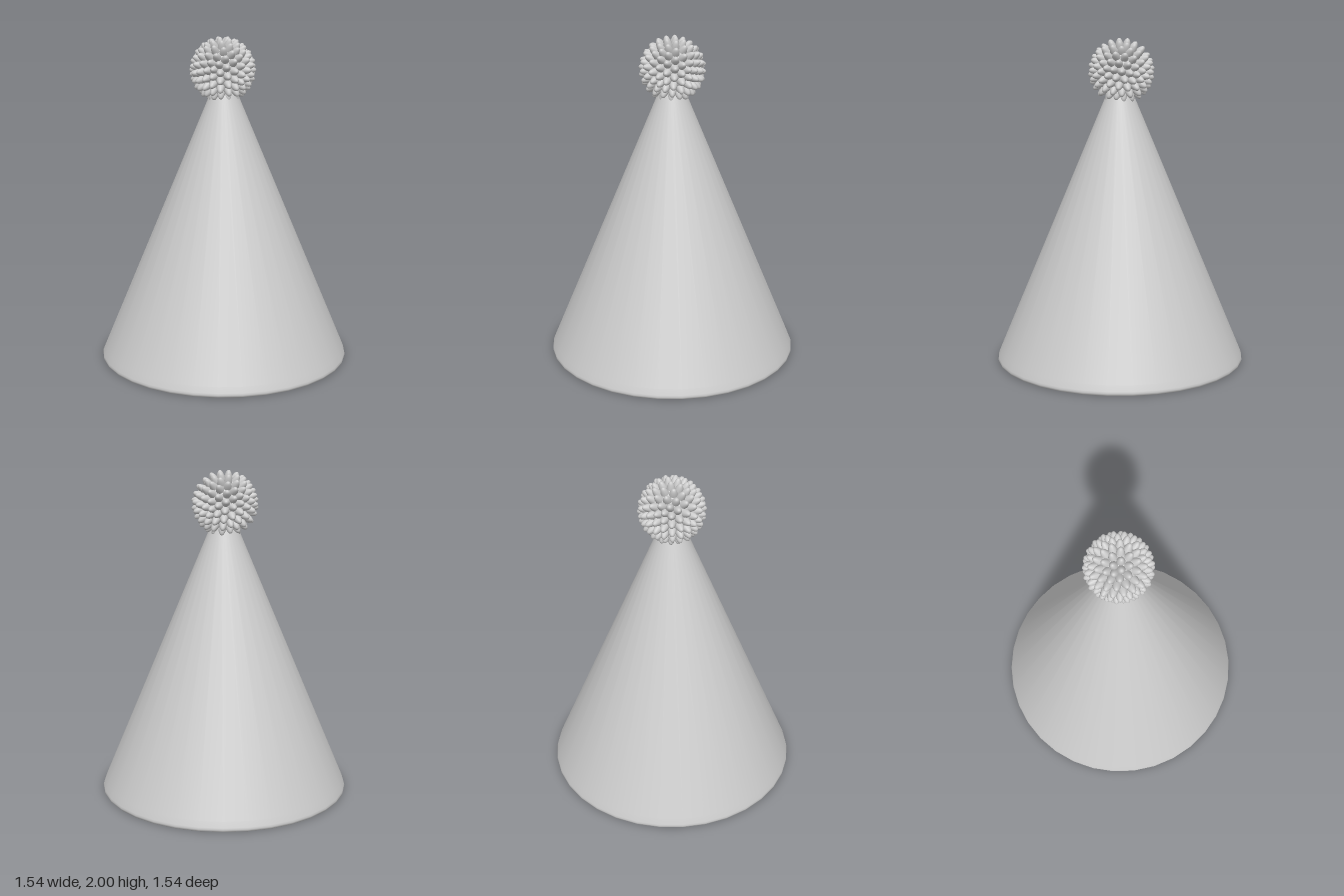
import * as THREE from 'three';
import { mergeGeometries, mergeVertices } from 'three/addons/utils/BufferGeometryUtils.js';

const profile = (pairs) => pairs.map(([r, y]) => new THREE.Vector2(r, y));

// Thin hollow cone: inner wall downwards, rounded rim, outer wall upwards
function createCone(material) {
  const points = profile([
    [0, 1.8], [0.1, 1.57], [0.735, 0.06], [0.75, 0.02], [0.752, 0.008], [0.757, 0.001],
    [0.763, 0], [0.769, 0.006], [0.771, 0.015], [0.768, 0.026], [0.754, 0.06],
    [0.09, 1.64], [0.006, 1.84], [0, 1.845],
  ]);
  const mesh = new THREE.Mesh(new THREE.LatheGeometry(points, 34, Math.PI / 2), material);
  mesh.name = 'cone';
  return mesh;
}

// Ball covered in evenly spread, blunt tufts
function createPompom(material) {
  const group = new THREE.Group();
  group.name = 'pompom';

  const core = new THREE.Mesh(new THREE.SphereGeometry(0.158, 32, 20), material);
  core.name = 'pompomCore';

  const tuft = new THREE.LatheGeometry(profile([
    [0.028, 0.14], [0.025, 0.16], [0.021, 0.177], [0.016, 0.19],
    [0.011, 0.198], [0.006, 0.202], [0, 0.2035],
  ]), 10);

  // One tuft at every corner of a subdivided icosahedron
  const ico = new THREE.IcosahedronGeometry(1, 3);
  ico.deleteAttribute('normal');
  ico.deleteAttribute('uv');
  const corners = mergeVertices(ico, 1e-3).getAttribute('position');
  const up = new THREE.Vector3(0, 1, 0);
  const tufts = [];
  for (let i = 0; i < corners.count; i++) {
    const direction = new THREE.Vector3().fromBufferAttribute(corners, i).normalize();
    const turn = new THREE.Quaternion().setFromUnitVectors(up, direction);
    tufts.push(tuft.clone().applyQuaternion(turn));
  }
  const tuftMesh = new THREE.Mesh(mergeGeometries(tufts), material);
  tuftMesh.name = 'pompomTufts';

  group.add(core, tuftMesh);
  group.position.set(-0.003, 1.797, -0.008);
  group.rotation.set(-0.2, 0.1, 0.04);
  return group;
}

export function createModel() {
  const material = new THREE.MeshStandardMaterial({ color: 0xcccccc });
  const hat = new THREE.Group();
  hat.name = 'partyHat';
  hat.add(createCone(material), createPompom(material));
  return hat;
}
